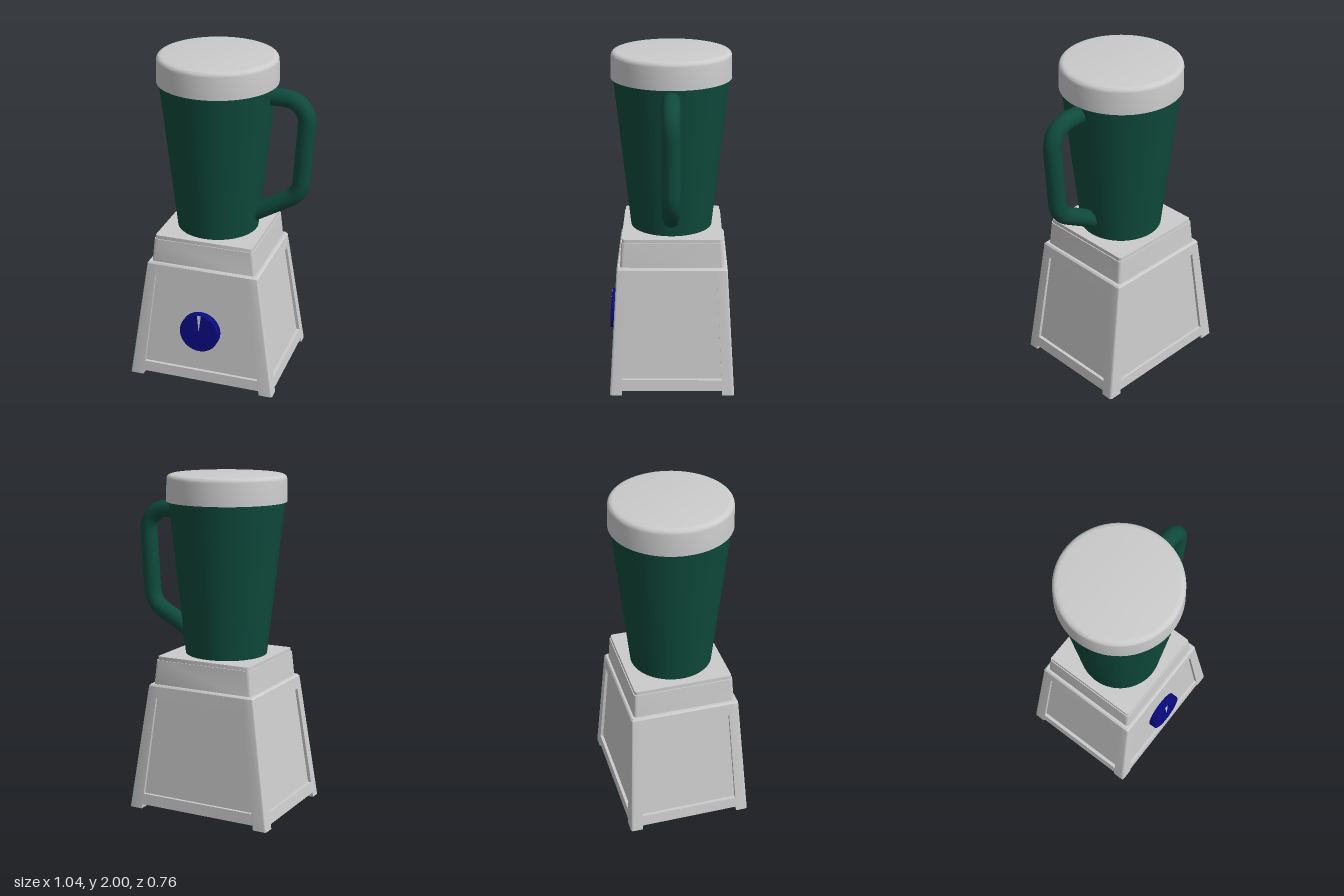
import * as THREE from 'three';
import { toCreasedNormals } from 'three/addons/utils/BufferGeometryUtils.js';

const grey = new THREE.MeshStandardMaterial({ color: 0xcccccc });
const green = new THREE.MeshStandardMaterial({ color: 0x0f4a3c });
const blue = new THREE.MeshStandardMaterial({ color: 0x0a0a80 });

const BASE = { hx: 0.458, hz: 0.373, topX: 0.343, topZ: 0.326, h: 0.77 };

function mesh(name, geometry, material, parent) {
  const m = new THREE.Mesh(geometry, material);
  m.name = name;
  parent.add(m);
  return m;
}

// Rectangle with rounded corners, seen in plan
function roundedRect(hx, hz, r) {
  const s = new THREE.Shape();
  s.absarc(hx - r, hz - r, r, 0, Math.PI / 2);
  s.absarc(-hx + r, hz - r, r, Math.PI / 2, Math.PI);
  s.absarc(-hx + r, -hz + r, r, Math.PI, Math.PI * 1.5);
  s.absarc(hx - r, -hz + r, r, Math.PI * 1.5, Math.PI * 2);
  return s;
}

// Square post in plan with only its outer corner rounded
function postPlan(sx, sz) {
  const { hx, hz } = BASE, r = 0.016, ix = hx * 0.818, iz = hz * 0.805;
  const s = new THREE.Shape();
  s.moveTo(sx * ix, sz * iz);
  s.lineTo(sx * hx, sz * iz);
  s.lineTo(sx * hx, sz * (hz - r));
  s.quadraticCurveTo(sx * hx, sz * hz, sx * (hx - r), sz * hz);
  s.lineTo(sx * ix, sz * hz);
  return s;
}

// Upright extrusion of a plan between two heights
function upright(shape, y0, y1) {
  return new THREE.ExtrudeGeometry(shape, { depth: y1 - y0, bevelEnabled: false, curveSegments: 6 })
    .rotateX(-Math.PI / 2).translate(0, y0, 0);
}

// Scale each vertex in x and z by a linear rule of its height
function taper(geo, y0, y1, kx, kz) {
  const p = geo.attributes.position;
  for (let i = 0; i < p.count; i++) {
    const t = (p.getY(i) - y0) / (y1 - y0);
    p.setX(i, p.getX(i) * (1 + (kx - 1) * t));
    p.setZ(i, p.getZ(i) * (1 + (kz - 1) * t));
  }
  return toCreasedNormals(geo, 0.5);
}
const baseTaper = (geo) => taper(geo, 0, BASE.h, BASE.topX / BASE.hx, BASE.topZ / BASE.hz);

function slab(y0, hx0, hz0, y1, hx1, hz1, r) {
  return taper(upright(roundedRect(hx0, hz0, r), y0, y1), y0, y1, hx1 / hx0, hz1 / hz0);
}

function box(x0, x1, y0, y1, z0, z1) {
  return new THREE.BoxGeometry(x1 - x0, y1 - y0, z1 - z0)
    .translate((x0 + x1) / 2, (y0 + y1) / 2, (z0 + z1) / 2);
}

function createBase() {
  const g = new THREE.Group();
  g.name = 'base';
  g.position.set(-0.065, 0, -0.006);
  const { hx, hz } = BASE, top = 0.76;

  // Recessed panels form one tapered core
  mesh('panels', baseTaper(box(-hx * 0.955, hx * 0.955, 0.03, top, -hz * 0.95, hz * 0.95)), grey, g);

  // Corner posts run down into the feet
  for (const sx of [-1, 1]) for (const sz of [-1, 1])
    mesh('cornerPost', baseTaper(upright(postPlan(sx, sz), 0, top)), grey, g);

  // Rails above and below every panel
  const ix = hx * 0.818, iz = hz * 0.805;
  for (const [y0, y1] of [[0.028, 0.095], [0.69, top]]) for (const s of [-1, 1]) {
    const zs = [s * hz * 0.9, s * hz].sort((a, b) => a - b);
    const xs = [s * hx * 0.9, s * hx].sort((a, b) => a - b);
    mesh('rail', baseTaper(box(-ix, ix, y0, y1, ...zs)), grey, g);
    mesh('sideRail', baseTaper(box(...xs, y0, y1, -iz, iz)), grey, g);
  }

  // Shoulder and jar seat
  mesh('frameCap', slab(top, 0.3445, 0.3266, 0.77, 0.336, 0.319, 0.014), grey, g);
  mesh('shoulder', slab(0.765, 0.322, 0.307, 0.915, 0.307, 0.299, 0.02), grey, g);
  mesh('seatPlate', slab(0.915, 0.301, 0.294, 0.937, 0.3, 0.293, 0.018), grey, g);
  return g;
}

function createKnob() {
  const g = new THREE.Group();
  g.name = 'knob';
  g.position.set(-0.068, 0.362, 0.317);
  g.rotation.x = -Math.atan((BASE.hz - BASE.topZ) / BASE.h);

  const profile = [[0, 0], [0.122, 0], [0.122, 0.051], [0.117, 0.057], [0, 0.057]]
    .map(([x, y]) => new THREE.Vector2(x, y));
  mesh('dial', toCreasedNormals(new THREE.LatheGeometry(profile, 40).rotateX(Math.PI / 2), 0.5), blue, g);

  // Thin wedge marking the setting
  const wedge = new THREE.Shape();
  wedge.moveTo(-0.011, 0.117);
  wedge.lineTo(0, 0.012);
  wedge.lineTo(0.013, 0.117);
  mesh('pointer', new THREE.ExtrudeGeometry(wedge, { depth: 0.003, bevelEnabled: false })
    .translate(0, 0, 0.056), grey, g);
  return g;
}

function createJar() {
  const g = new THREE.Group();
  g.name = 'jar';
  const cx = -0.068;
  mesh('jarBody', new THREE.CylinderGeometry(0.342, 0.243, 0.92, 64).translate(cx, 1.395, 0), green, g);

  // Lid with a rounded upper edge
  const lid = new THREE.Path();
  lid.moveTo(0, 1.84);
  lid.lineTo(0.354, 1.84);
  lid.lineTo(0.351, 1.968);
  lid.quadraticCurveTo(0.35, 1.996, 0.318, 1.998);
  lid.lineTo(0, 2);
  mesh('lid', toCreasedNormals(new THREE.LatheGeometry(lid.getPoints(6), 64), 0.6).translate(cx, 0, 0), grey, g);

  // Handle: straight runs joined by rounded bends
  const v = (x, y) => new THREE.Vector3(x, y, 0);
  const path = new THREE.CurvePath();
  path.add(new THREE.LineCurve3(v(0.2, 1.777), v(0.32, 1.777)));
  path.add(new THREE.CubicBezierCurve3(v(0.32, 1.777), v(0.41, 1.777), v(0.47, 1.72), v(0.465, 1.63)));
  path.add(new THREE.LineCurve3(v(0.465, 1.63), v(0.443, 1.28)));
  path.add(new THREE.QuadraticBezierCurve3(v(0.443, 1.28), v(0.438, 1.2), v(0.375, 1.162)));
  path.add(new THREE.LineCurve3(v(0.375, 1.162), v(0.1, 1.006)));
  mesh('handle', new THREE.TubeGeometry(path, 80, 0.052, 20), green, g);
  return g;
}

export function createModel() {
  const model = new THREE.Group();
  model.name = 'blender';
  model.add(createBase(), createKnob(), createJar());
  return model;
}
